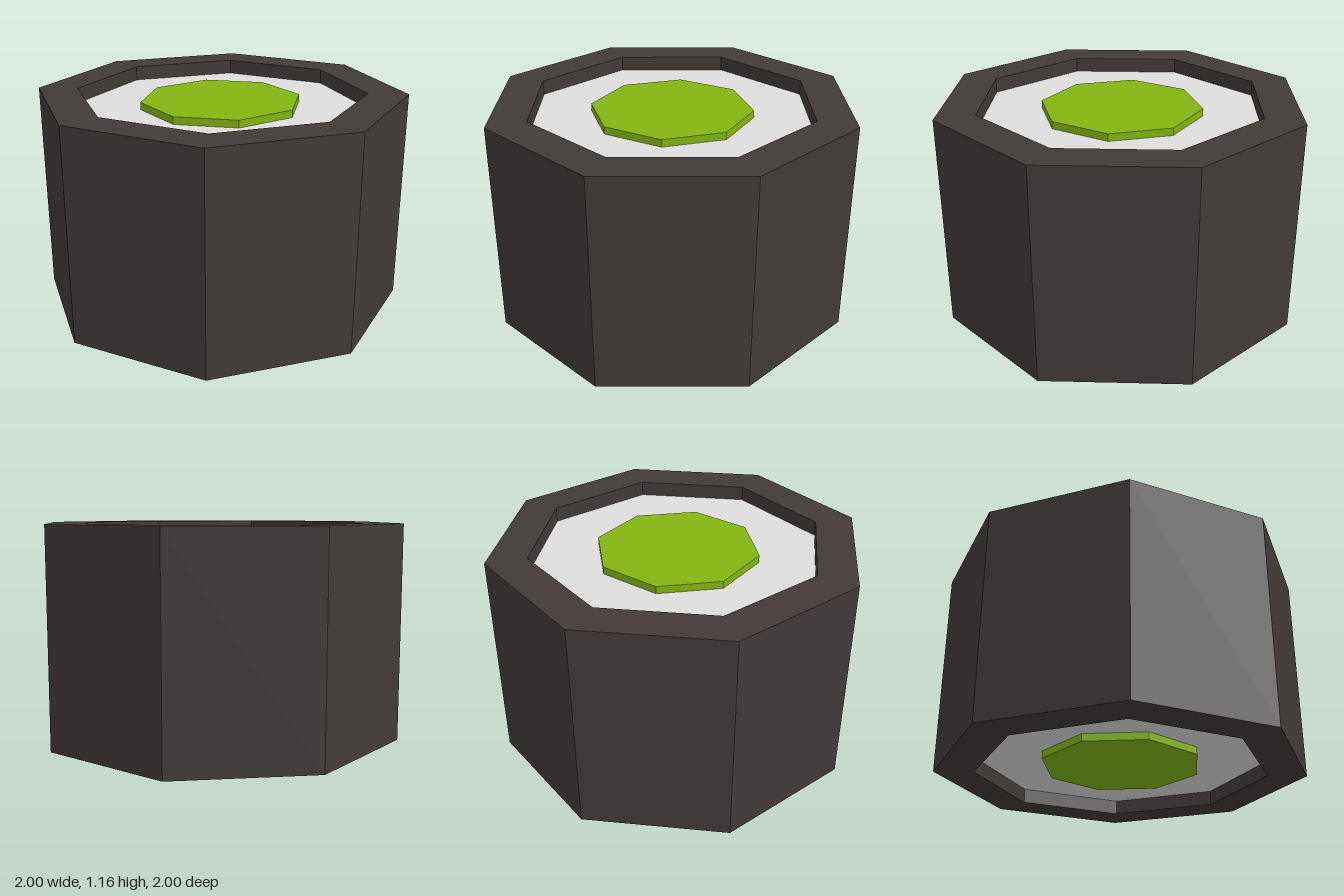
import * as THREE from 'three';

const SIDES = 8;
const HEIGHT = 1.165;
const RECESS = 0.08;   // rice sits below the wrapper rim at both ends
const PROUD = 0.04;    // filling stands out of the rice

function flat(name, color) {
  const m = new THREE.MeshStandardMaterial({ color, flatShading: true });
  m.name = name;
  return m;
}

// Corners of a regular polygon
function ring(radius) {
  return Array.from({ length: SIDES }, (_, i) => {
    const a = (i / SIDES) * Math.PI * 2;
    return new THREE.Vector2(Math.cos(a) * radius, Math.sin(a) * radius);
  });
}

// Upright prism centred at mid height
function prism(name, radius, height, material) {
  const mesh = new THREE.Mesh(new THREE.CylinderGeometry(radius, radius, height, SIDES), material);
  mesh.name = name;
  mesh.position.y = HEIGHT / 2;
  return mesh;
}

export function createModel() {
  const group = new THREE.Group();
  group.name = 'makiRoll';

  // Seaweed wrapper: octagonal tube
  const shape = new THREE.Shape(ring(1));
  shape.holes.push(new THREE.Path(ring(0.785)));
  const tube = new THREE.ExtrudeGeometry(shape, { depth: HEIGHT, bevelEnabled: false });
  tube.rotateX(-Math.PI / 2);
  const wrapper = new THREE.Mesh(tube, flat('seaweed', 0x413a39));
  wrapper.name = 'seaweedWrapper';

  // Rice core, recessed at both ends
  const rice = prism('rice', 0.785, HEIGHT - 2 * RECESS, flat('rice white', 0xdedede));

  // Filling runs right through, slightly turned
  const filling = prism('filling', 0.438, HEIGHT - 2 * (RECESS - PROUD), flat('filling green', 0x82b511));
  filling.rotation.y = 0.276;

  group.add(wrapper, rice, filling);
  return group;
}
